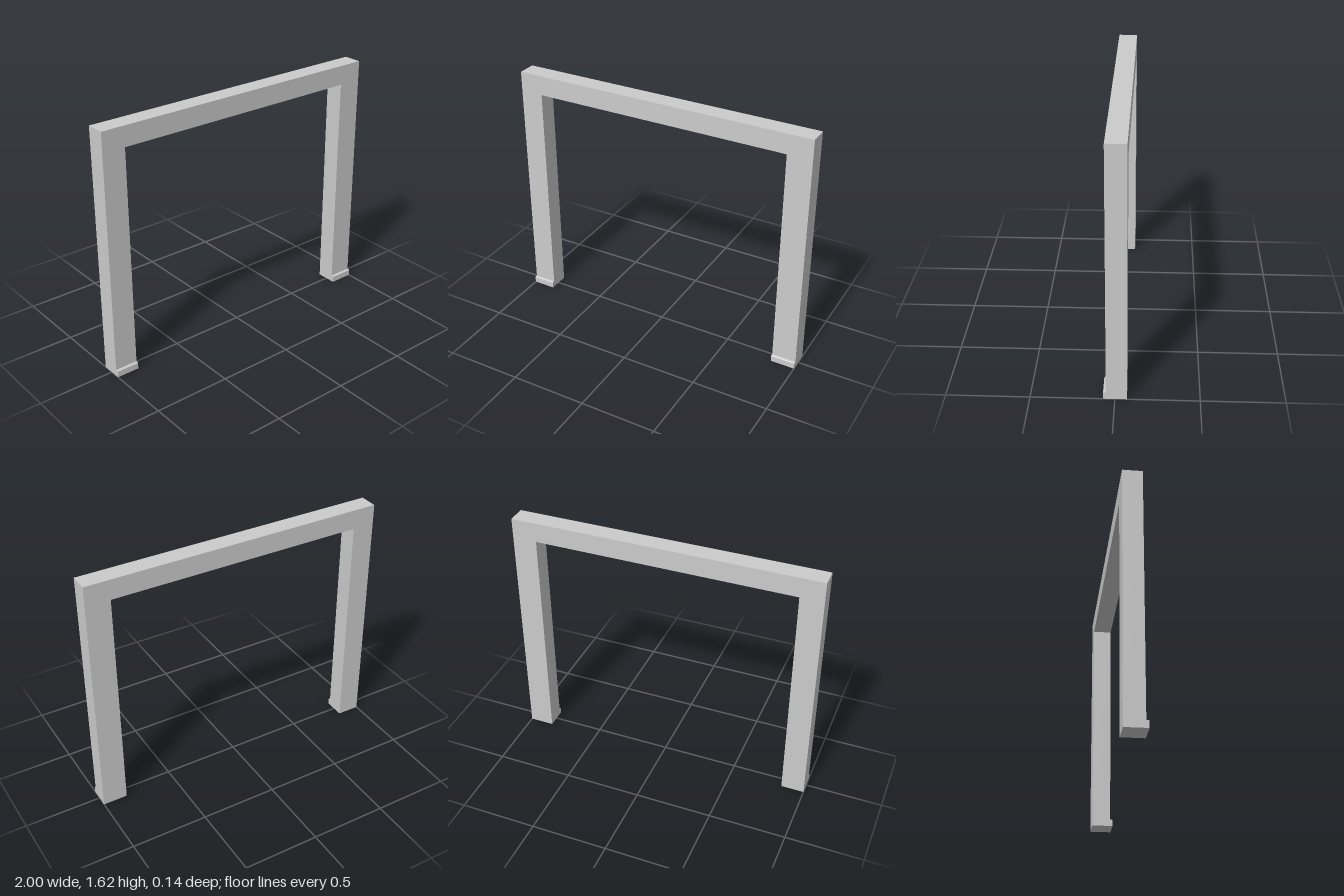
import * as THREE from 'three';

const material = new THREE.MeshStandardMaterial({ color: 0xcccccc, flatShading: true });
const HEIGHT = 1.615, BACK = -0.07, FRONT = 0.053, FOOT_FRONT = 0.07;
const INNER_LEFT = 0.84, INNER_RIGHT = -0.85;

function extrude(points, depth, name) {
  const shape = new THREE.Shape(points.map(([x, y]) => new THREE.Vector2(x, y)));
  const geometry = new THREE.ExtrudeGeometry(shape, { depth, bevelEnabled: false });
  const mesh = new THREE.Mesh(geometry, material);
  mesh.name = name;
  return mesh;
}

// Skirting strip at the foot of a jamb, with a slightly chamfered top edge
function skirting(x0, x1, name) {
  const strip = extrude([
    [-FRONT, 0], [-FRONT, 0.045], [-FOOT_FRONT + 0.006, 0.045],
    [-FOOT_FRONT, 0.039], [-FOOT_FRONT, 0],
  ], x1 - x0, name);
  strip.rotation.y = Math.PI / 2; // profile x becomes -z, depth runs along +x
  strip.position.x = x0;
  return strip;
}

export function createModel() {
  const group = new THREE.Group();
  group.name = 'doorSurround';

  // Two jambs and the lintel as one continuous frame
  const frame = extrude([
    [-1, 0], [INNER_RIGHT, 0], [INNER_RIGHT, 1.485], [INNER_LEFT, 1.485],
    [INNER_LEFT, 0], [1, 0], [1, HEIGHT], [-1, HEIGHT],
  ], FRONT - BACK, 'frame');
  frame.position.z = BACK;

  group.add(
    frame,
    skirting(-1, INNER_RIGHT, 'rightSkirting'),
    skirting(INNER_LEFT, 1, 'leftSkirting'),
  );
  return group;
}
